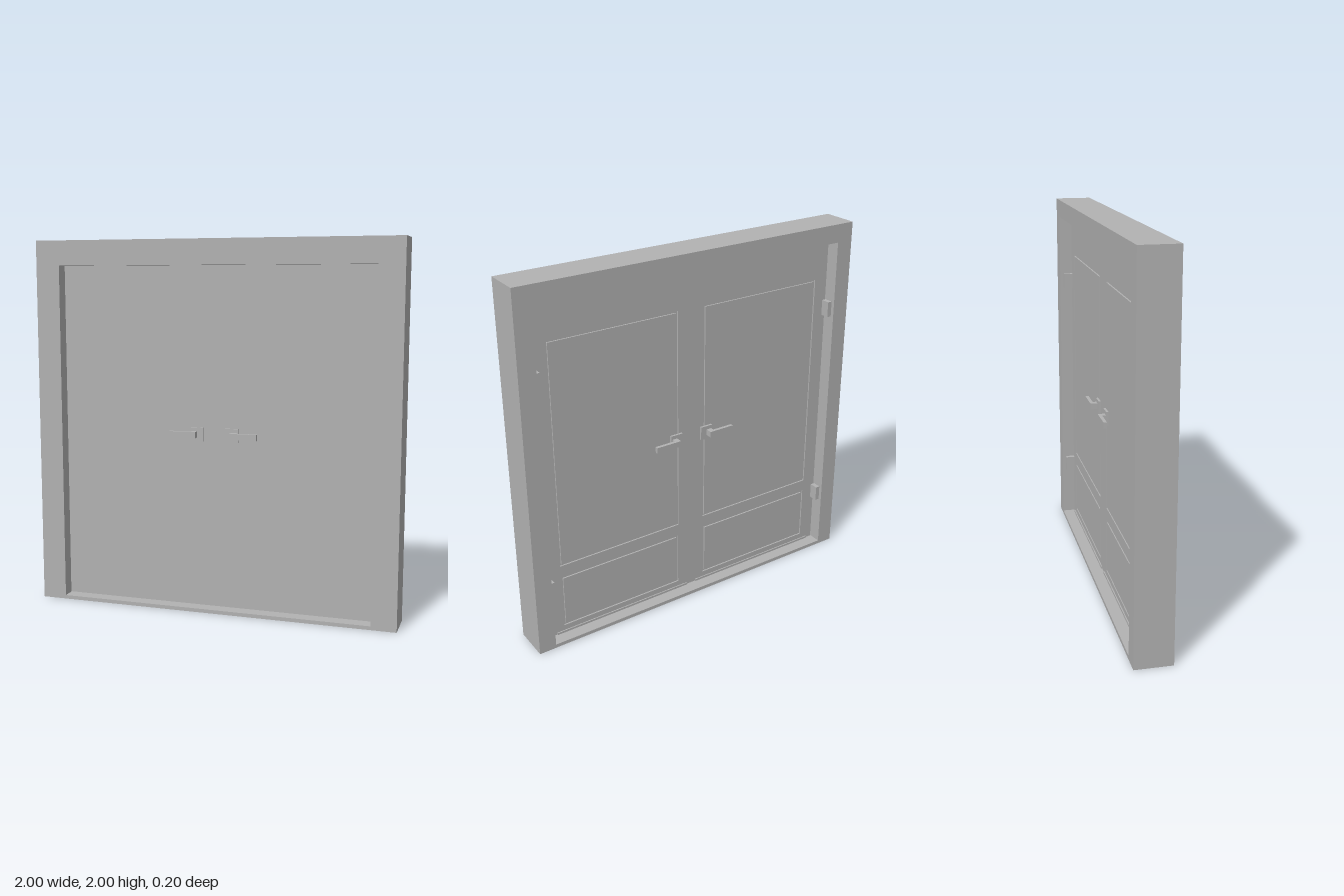
import * as THREE from 'three';

export function createModel() {
  const model = new THREE.Group();
  model.name = 'doubleDoor';
  const grey = new THREE.MeshStandardMaterial({ color: 0xb2b2b2 });
  grey.name = 'plainGrey';

  // Box given by its extents on each axis
  function box(name, parent, [x0, x1], [y0, y1], [z0, z1]) {
    const geo = new THREE.BoxGeometry(Math.abs(x1 - x0), y1 - y0, Math.abs(z1 - z0));
    geo.translate((x0 + x1) / 2, (y0 + y1) / 2, (z0 + z1) / 2);
    const mesh = new THREE.Mesh(geo, grey);
    mesh.name = name;
    parent.add(mesh);
  }

  // Rectangular plate with rectangular holes; a rectangle is [x0, y0, x1, y1]
  function trace(path, [x0, y0, x1, y1]) {
    path.moveTo(x0, y0);
    path.lineTo(x1, y0);
    path.lineTo(x1, y1);
    path.lineTo(x0, y1);
    path.closePath();
    return path;
  }
  function plate(name, parent, outer, holes, z0, z1) {
    const shape = trace(new THREE.Shape(), outer);
    shape.holes = holes.map((h) => trace(new THREE.Path(), h));
    const geo = new THREE.ExtrudeGeometry(shape, { depth: z1 - z0, bevelEnabled: false });
    geo.translate(0, 0, z0);
    const mesh = new THREE.Mesh(geo, grey);
    mesh.name = name;
    parent.add(mesh);
  }

  // Frame: narrower stop in front, wider rebate behind, low sill below
  const frame = new THREE.Group();
  frame.name = 'frame';
  model.add(frame);
  plate('frontStop', frame, [-1, 0, 1, 2], [[-0.865, 0.02, 0.865, 1.865]], 0.03, 0.1);
  plate('rearJamb', frame, [-1, 0, 1, 2], [[-0.905, 0.02, 0.905, 1.9]], -0.1, 0.03);

  // Door slab with a grooved facing on the back
  const door = new THREE.Group();
  door.name = 'door';
  model.add(door);
  box('doorSlab', door, [-0.9, 0.9], [0.022, 1.896], [-0.022, 0.03]);
  const panels = [];
  for (const side of [-1, 1]) {
    for (const [a, b, y0, y1] of [[0.08, 0.82, 0.44, 1.69], [0.085, 0.815, 0.065, 0.37]]) {
      panels.push([Math.min(side * a, side * b), y0, Math.max(side * a, side * b), y1]);
    }
  }
  plate('backFacing', door, [-0.9, 0.022, 0.9, 1.896], panels, -0.03, -0.022);
  const g = 0.01; // groove width
  for (const [x0, y0, x1, y1] of panels) {
    box('backPanel', door, [x0 + g, x1 - g], [y0 + g, y1 - g], [-0.03, -0.022]);
  }

  for (const side of [-1, 1]) {
    // Thin sweep along the bottom of each leaf
    box('doorSweep', door, [side * 0.03, side * 0.86], [0.022, 0.034], [-0.036, -0.03]);

    // Hinges in the rebate corner
    for (const y of [0.35, 1.52]) {
      box('hinge', model, [side * 0.88, side * 0.905], [y - 0.043, y + 0.043], [-0.08, -0.03]);
    }

    // Lever handles on both faces
    for (const face of [-1, 1]) {
      const handle = new THREE.Group();
      handle.name = 'handle';
      model.add(handle);
      box('handlePlate', handle, [side * 0.06, side * 0.132], [0.93, 1.005], [face * 0.03, face * 0.042]);
      box('handleNeck', handle, [side * 0.095, side * 0.125], [0.952, 0.985], [face * 0.042, face * 0.062]);
      box('handleLever', handle, [side * 0.095, side * 0.243], [0.952, 0.985], [face * 0.062, face * 0.08]);
    }
  }
  return model;
}
